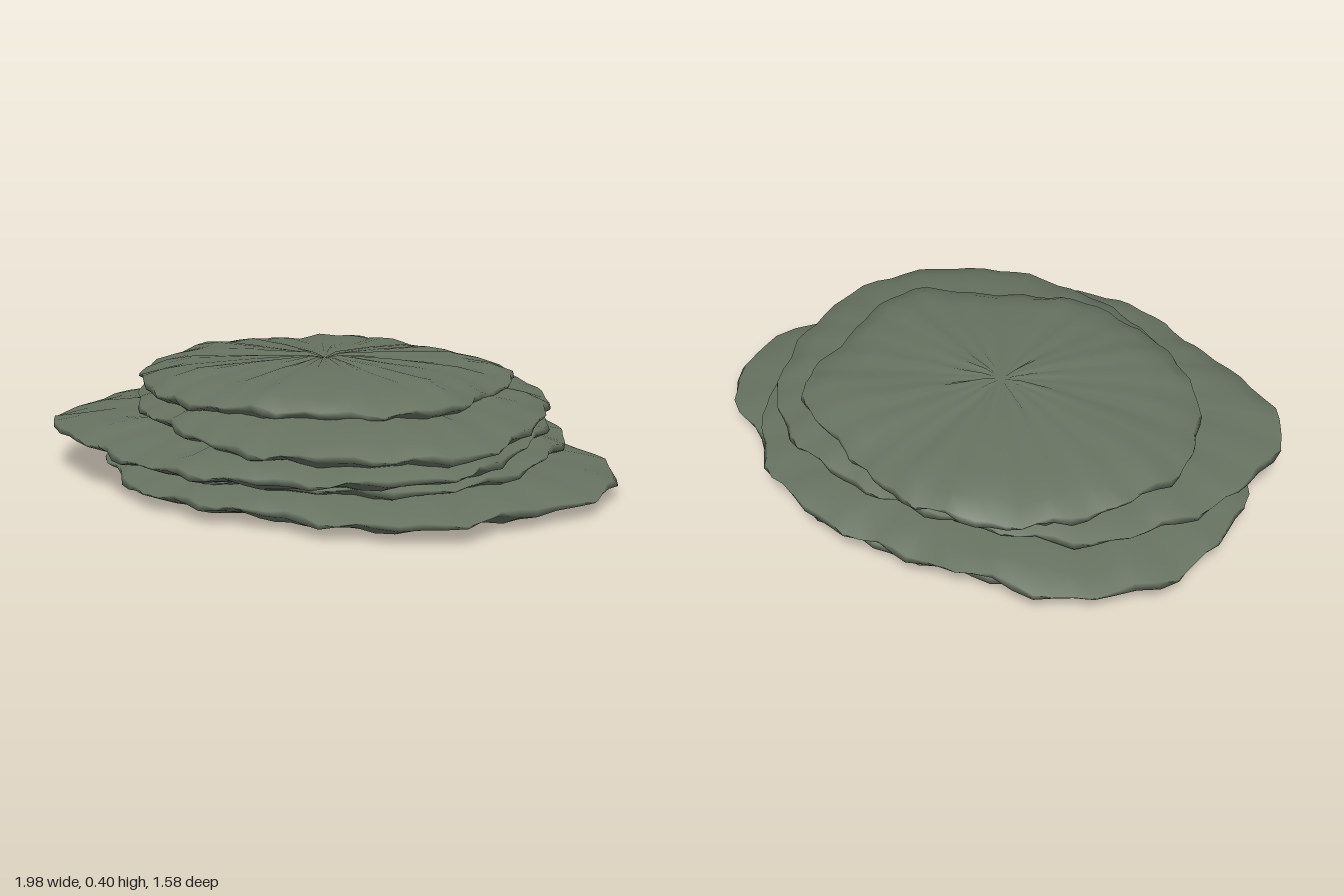
import * as THREE from 'three';

const SEGMENTS = 80;
const material = new THREE.MeshStandardMaterial({ color: 0x667260 });

// Shared slab section: [scale of plan outline, fraction of height], underside to crown
const SECTION = [[0.4, 0], [0.8, 0.05], [0.91, 0.22], [1, 0.44], [1, 0.55],
  [0.89, 0.74], [0.74, 0.88], [0.4, 0.97], [0.1, 1.01]];

// Smooth repeating ripple used to weather the rims and faces
function ripple(a, seed) {
  return (Math.sin(a * 6 + seed * 2.1) + Math.sin(a * 13 + seed * 4.7)
    + Math.sin(a * 23 + seed * 1.3)) / 3;
}

// One slab lofted from its plan radii, spaced evenly from left through back, right and front
function makeSlab({ name, centre, radii, bottom, height, tilt, seed }) {
  const [cx, cz] = centre;
  const outline = new THREE.CatmullRomCurve3(radii.map((r, k) => {
    const a = (k / radii.length) * Math.PI * 2;
    return new THREE.Vector3(-r * Math.cos(a), 0, -r * Math.sin(a));
  }), true);
  const positions = [];
  const index = [];

  // Weathered rings
  SECTION.forEach(([scale, t], row) => {
    for (let i = 0; i < SEGMENTS; i++) {
      const u = i / SEGMENTS;
      const a = u * Math.PI * 2;
      const s = scale * (1 + 0.03 * ripple(a, seed + row * 0.25));
      const p = outline.getPoint(u).multiplyScalar(s);
      const wave = 0.018 * Math.max(scale, 0.45) * ripple(a, seed + 3 + row * 0.3);
      const lift = Math.min(1, t * 4) * (wave + tilt[0] * p.x + tilt[1] * p.z);
      positions.push(cx + p.x, Math.max(0, bottom + t * height + lift), cz + p.z);
    }
  });

  // Walls between successive rings
  const top = (SECTION.length - 1) * SEGMENTS;
  for (let r = 0; r < top; r += SEGMENTS) {
    for (let i = 0; i < SEGMENTS; i++) {
      const a = r + i, b = r + (i + 1) % SEGMENTS;
      index.push(a, a + SEGMENTS, b + SEGMENTS, a, b + SEGMENTS, b);
    }
  }

  // Centre points close the underside and the pinched crown
  const low = positions.length / 3, high = low + 1;
  positions.push(cx, Math.max(0, bottom), cz, cx, bottom + height - 0.006, cz);
  for (let i = 0; i < SEGMENTS; i++) {
    const j = (i + 1) % SEGMENTS;
    index.push(low, i, j, high, top + j, top + i);
  }

  const geometry = new THREE.BufferGeometry();
  geometry.setAttribute('position', new THREE.Float32BufferAttribute(positions, 3));
  geometry.setIndex(index);
  geometry.computeVertexNormals();
  const mesh = new THREE.Mesh(geometry, material);
  mesh.name = name;
  return mesh;
}

export function createModel() {
  const model = new THREE.Group();
  model.name = 'layeredRock';
  model.add(
    makeSlab({
      name: 'baseSlab', centre: [0, 0], bottom: -0.008, height: 0.135, tilt: [0, 0], seed: 1,
      radii: [0.85, 0.85, 0.86, 0.77, 0.73, 0.72, 0.75, 0.78, 0.92,
        0.985, 0.89, 0.87, 0.79, 0.72, 0.74, 0.79, 0.8, 0.83],
    }),
    makeSlab({
      name: 'lowerSlab', centre: [-0.1, -0.05], bottom: 0.055, height: 0.125, tilt: [0.015, 0], seed: 2.4,
      radii: [0.88, 0.9, 0.86, 0.73, 0.72, 0.77, 0.82, 0.86,
        0.84, 0.85, 0.8, 0.71, 0.68, 0.7, 0.78, 0.85],
    }),
    makeSlab({
      name: 'middleSlab', centre: [-0.12, 0.08], bottom: 0.115, height: 0.125, tilt: [0.012, -0.012], seed: 4.1,
      radii: [0.86, 0.8, 0.77, 0.71, 0.67, 0.72, 0.83, 0.85,
        0.82, 0.86, 0.77, 0.7, 0.7, 0.7, 0.75, 0.88],
    }),
    makeSlab({
      name: 'upperSlab', centre: [-0.02, -0.02], bottom: 0.18, height: 0.145, tilt: [-0.005, -0.015], seed: 5.6,
      radii: [0.75, 0.73, 0.71, 0.68, 0.7, 0.74, 0.73, 0.81, 0.74, 0.7, 0.65, 0.71],
    }),
    makeSlab({
      name: 'capSlab', centre: [-0.12, -0.1], bottom: 0.235, height: 0.152, tilt: [0.012, 0.015], seed: 7.3,
      radii: [0.7, 0.66, 0.65, 0.61, 0.59, 0.67, 0.64, 0.68, 0.59, 0.6, 0.63, 0.65],
    }),
  );
  return model;
}
